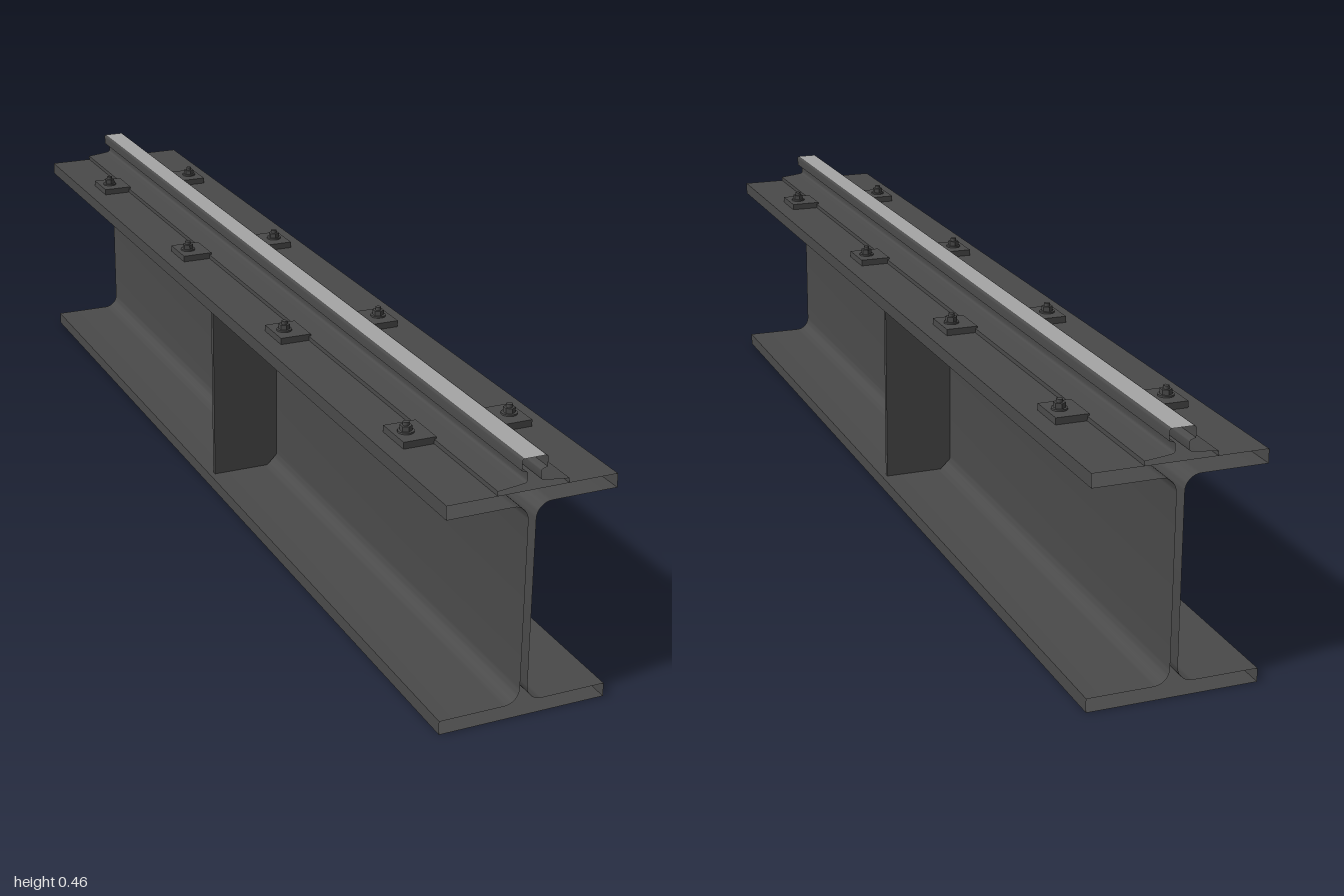
import * as THREE from 'three';
import { toCreasedNormals } from 'three/addons/utils/BufferGeometryUtils.js';

const steel = new THREE.MeshStandardMaterial({ color: 0x4a4a4a, side: THREE.DoubleSide });
steel.name = 'dark steel';
const polished = new THREE.MeshStandardMaterial({ color: 0xa6a6a6, side: THREE.DoubleSide });
polished.name = 'polished steel';

function add(parent, name, geometry, material, x = 0, y = 0, z = 0) {
  const mesh = new THREE.Mesh(geometry, material);
  mesh.name = name;
  mesh.position.set(x, y, z);
  parent.add(mesh);
  return mesh;
}

// Points on an arc, angles in degrees
function arc(cx, cy, r, from, to, steps = 8) {
  return Array.from({ length: steps + 1 }, (_, i) => {
    const a = THREE.MathUtils.degToRad(from + (to - from) * i / steps);
    return [cx + r * Math.cos(a), cy + r * Math.sin(a)];
  });
}

// Open-ended surface swept along z from -1 to 1
function sweep(points) {
  const pos = [];
  for (let i = 0; i < points.length - 1; i++) {
    const [p, q] = [points[i], points[i + 1]];
    const [a, b, c, d] = [[...p, -1], [...q, -1], [...q, 1], [...p, 1]];
    pos.push(...a, ...b, ...c, ...a, ...c, ...d);
  }
  const g = new THREE.BufferGeometry();
  g.setAttribute('position', new THREE.Float32BufferAttribute(pos, 3));
  return toCreasedNormals(g, 0.4);
}

// Left side downwards, then right side upwards
const mirrored = (right) => [...right.map(([x, y]) => [-x, y]).reverse(), ...right];

export function createModel() {
  const model = new THREE.Group();
  model.name = 'craneRunwayBeam';

  // I-beam with filleted web
  const upper = [...arc(0.0338, 0.349, 0.027, 180, 90), [0.15, 0.376], [0.15, 0.4]];
  const lower = upper.map(([x, y]) => [x, 0.4 - y]).reverse();
  const beam = mirrored([...lower, ...upper]);
  add(model, 'beam', sweep([...beam, beam[0]]), steel);

  // Rail with wide foot, narrow neck and bright running surface
  const railSide = [
    [0.0625, 0.4], [0.0625, 0.408], [0.03, 0.4115], ...arc(0.016, 0.4175, 0.004, 270, 180, 4),
    ...arc(0.016, 0.429, 0.004, 180, 90, 4), [0.0225, 0.435],
    ...arc(0.0185, 0.451, 0.004, 0, 90, 5),
  ];
  add(model, 'rail', sweep(mirrored(railSide)), steel);
  add(model, 'railRunningSurface', sweep([[0.0185, 0.455], [-0.0185, 0.455]]), polished);

  for (const side of [-1, 1]) {
    // Web stiffener with clipped inner corners
    const plate = new THREE.Shape([
      [0.0068, 0.045], [0.027, 0.025], [0.14, 0.025],
      [0.14, 0.376], [0.027, 0.376], [0.0068, 0.356],
    ].map(([x, y]) => new THREE.Vector2(side * x, y)));
    add(model, 'stiffener', new THREE.ExtrudeGeometry(plate, { depth: 0.01, bevelEnabled: false }),
      steel, 0, 0, -0.005);

    // Rail clips, each with washer, hex nut and stud
    for (const z of [-0.75, -0.25, 0.25, 0.75]) {
      const clip = new THREE.Group();
      clip.name = 'railClip';
      clip.position.set(side * 0.088, 0.4, z);
      add(clip, 'clipPlate', new THREE.BoxGeometry(0.059, 0.012, 0.075), steel, 0, 0.006);
      const bx = side * 0.007;
      add(clip, 'washer', new THREE.CylinderGeometry(0.014, 0.014, 0.003, 24), steel, bx, 0.0135);
      add(clip, 'nut', new THREE.CylinderGeometry(0.0105, 0.0105, 0.009, 6).toNonIndexed(),
        steel, bx, 0.0195).geometry.computeVertexNormals();
      add(clip, 'stud', new THREE.CylinderGeometry(0.0055, 0.0055, 0.006, 16), steel, bx, 0.027);
      model.add(clip);
    }
  }
  return model;
}
